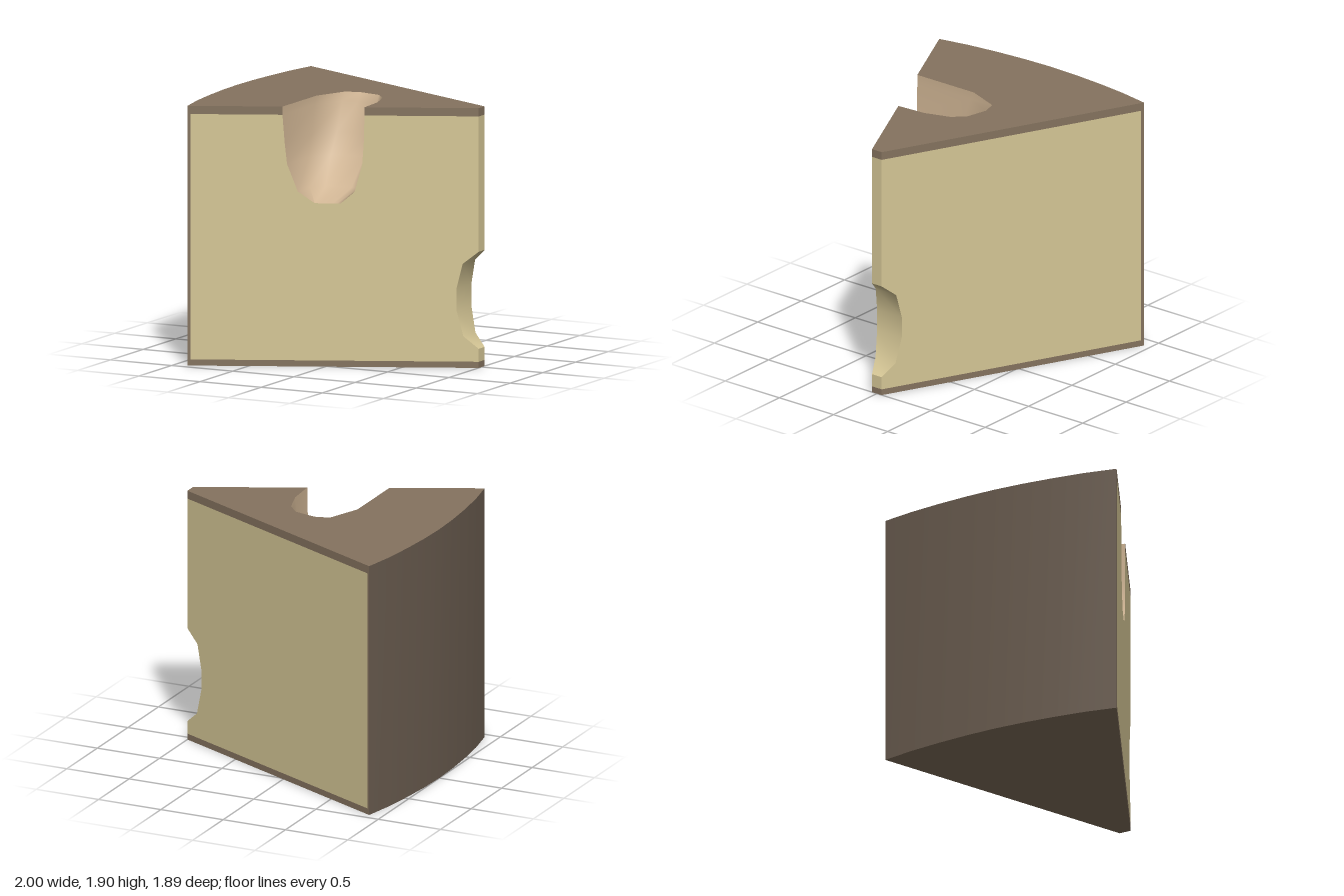
import * as THREE from 'three';

const H = 1.9, RIND_TOP = 1.84, RIND_BOTTOM = 0.045, RIND_X = -0.88;
const TIP_Z = 0.045, BACK_X = -0.9, BACK_Z = 0.945;
// z of the slanted cut face at a given x
const faceZ = (x) => TIP_Z + (1 - x) * (BACK_Z - TIP_Z) / (1 - BACK_X);

const paint = (color) => new THREE.MeshStandardMaterial({ color, roughness: 0.9, side: THREE.DoubleSide });
const cream = paint(0xd6c796), rind = paint(0x85735f), flesh = paint(0xd0b594), crust = paint(0x6b5d50);

// curved back edge of the wedge, [x, z]
const backArc = [[-0.9, -0.945], [-0.945, -0.71], [-0.974, -0.47], [-0.993, -0.23], [-1, 0],
  [-0.993, 0.23], [-0.974, 0.47], [-0.945, 0.71], [-0.9, 0.945]];
// bite in the narrow tip, [x, y] from the bottom up
const notch = [[1, 0.14], [0.9, 0.23], [0.855, 0.42], [0.855, 0.58], [0.895, 0.76], [1, 0.85]];
// scoop outline at the top, [x, z]
const scoopRim = [[-0.28, faceZ(-0.28)], [-0.28, 0.13], [-0.18, -0.12], [-0.07, -0.15],
  [0.1, -0.11], [0.18, -0.02], [0.24, 0.17], [0.255, faceZ(0.255)]];
// scoop cross-sections from the top down: [y, left, right, depth factor]
const scoopLevels = [[H, -0.28, 0.255, 1], [RIND_TOP, -0.28, 0.255, 0.94], [1.63, -0.265, 0.25, 0.79],
  [1.48, -0.25, 0.24, 0.63], [1.28, -0.18, 0.19, 0.36], [1.195, -0.07, 0.1, 0]];

const shapeOf = (pts) => new THREE.Shape(pts.map(([x, y]) => new THREE.Vector2(x, y)));

// flat panel drawn in x/y and laid on the slanted cut face
function sidePanel(pts) {
  const g = new THREE.ShapeGeometry(shapeOf(pts));
  const p = g.attributes.position;
  for (let i = 0; i < p.count; i++) p.setZ(i, faceZ(p.getX(i)));
  g.computeVertexNormals();
  return g;
}
const rect = (x0, x1, y0, y1) => [[x0, y0], [x1, y0], [x1, y1], [x0, y1]];

// horizontal panel from an [x, z] outline
function flatPanel(pts, y, up) {
  const g = new THREE.ShapeGeometry(shapeOf(pts.map(([x, z]) => [x, up ? -z : z])));
  return g.rotateX(up ? -Math.PI / 2 : Math.PI / 2).translate(0, y, 0);
}

// surface through rows of [x, y, z] points
function loft(rows) {
  const n = rows[0].length, index = [];
  for (let r = 0; r < rows.length - 1; r++) {
    for (let i = 0; i < n - 1; i++) {
      const a = r * n + i, b = a + n;
      index.push(a, b, a + 1, a + 1, b, b + 1);
    }
  }
  const g = new THREE.BufferGeometry();
  g.setAttribute('position', new THREE.Float32BufferAttribute(rows.flat(2), 3));
  g.setIndex(index);
  g.computeVertexNormals();
  return g;
}

export function createModel() {
  const model = new THREE.Group();
  model.name = 'wedge';
  const add = (name, geometry, material, mirror = false) => {
    const m = new THREE.Mesh(geometry, material);
    m.name = name;
    if (mirror) m.scale.z = -1;
    model.add(m);
  };

  // cut faces: the front one carries the scoop, both carry the tip bite
  const lower = scoopLevels.slice(1);
  const bottomEdge = [[RIND_X, RIND_BOTTOM], [1, RIND_BOTTOM], ...notch, [1, RIND_TOP]];
  const scoopEdge = [...lower.map(([y, , r]) => [r, y]), ...lower.map(([y, l]) => [l, y]).reverse()];
  add('frontCutFace', sidePanel([...bottomEdge, ...scoopEdge, [RIND_X, RIND_TOP]]), cream);
  add('rearCutFace', sidePanel([...bottomEdge, [RIND_X, RIND_TOP]]), cream, true);

  // rind edges bordering the cut faces
  for (const rear of [false, true]) {
    const side = rear ? 'rear' : 'front';
    add(side + 'BottomRindEdge', sidePanel(rect(BACK_X, 1, 0, RIND_BOTTOM)), rind, rear);
    add(side + 'BackRindEdge', sidePanel(rect(BACK_X, RIND_X, RIND_BOTTOM, RIND_TOP)), rind, rear);
    const spans = rear ? [[BACK_X, 1]] : [[BACK_X, scoopLevels[0][1]], [scoopLevels[0][2], 1]];
    for (const [a, b] of spans) add(side + 'TopRindEdge', sidePanel(rect(a, b, RIND_TOP, H)), rind, rear);
  }

  // narrow tip, running through the bite
  const tipStrip = (pts) => loft(pts.map(([x, y]) => [[x, y, -faceZ(x)], [x, y, faceZ(x)]]).reverse());
  add('lowerTip', tipStrip([[1, RIND_BOTTOM], [1, 0.14]]), cream);
  add('tipBite', tipStrip(notch), cream);
  add('upperTip', tipStrip([[1, 0.85], [1, RIND_TOP]]), cream);
  add('tipBottomRind', tipStrip([[1, 0], [1, RIND_BOTTOM]]), rind);
  add('tipTopRind', tipStrip([[1, RIND_TOP], [1, H]]), rind);

  // top, bottom and curved back rind
  const tip = [[1, TIP_Z], [1, -TIP_Z]];
  add('topRind', flatPanel([...backArc, ...scoopRim, ...tip], H, true), rind);
  add('bottomRind', flatPanel([...backArc, ...tip], 0, false), rind);
  add('backRind', loft([H, 0].map((y) => backArc.map(([x, z]) => [x, y, z]))), crust);

  // scooped hollow, narrowing and getting shallower downwards
  const [, l0, r0] = scoopLevels[0];
  add('scoop', loft(scoopLevels.map(([y, l, r, depth]) => scoopRim.map(([x0, z0]) => {
    const x = l + (r - l) * (x0 - l0) / (r0 - l0);
    return [x, y, faceZ(x) - depth * (faceZ(x0) - z0)];
  }))), flesh);

  return model;
}
